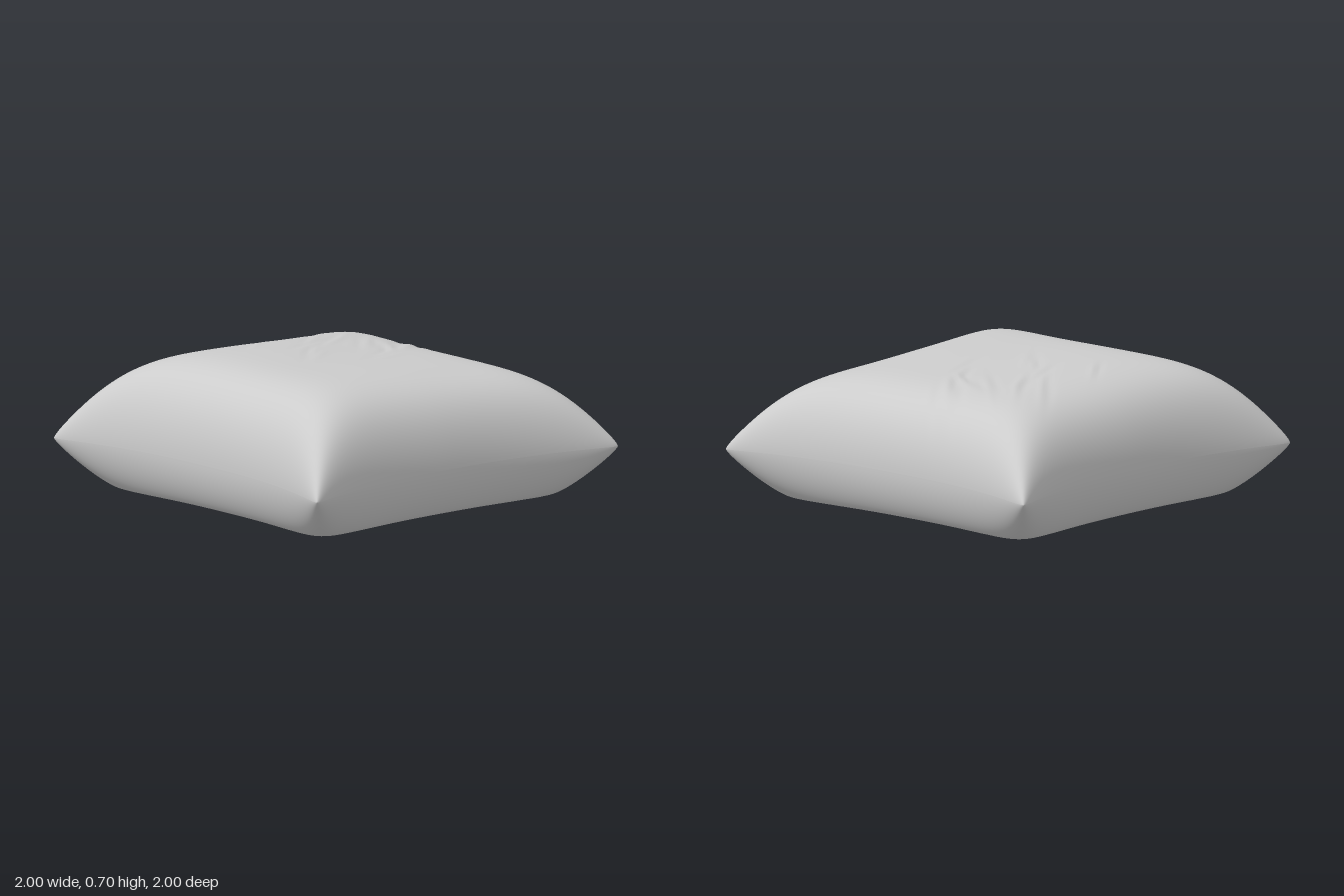
import * as THREE from 'three';

const SEAM = 0.25;   // height of the seam
const N = 110;       // grid divisions per shell
const material = new THREE.MeshStandardMaterial({ color: 0xcccccc, side: THREE.DoubleSide });

// Small seeded generator for the wrinkles
function seeded(seed) {
  return () => (seed = (seed * 16807) % 2147483647) / 2147483647;
}

// Soft creases: short ridge-and-groove strokes in the u, v plane
function makeCreases(count, seed, cu, cv, spread, angle) {
  const rnd = seeded(seed);
  return Array.from({ length: count }, () => ({
    u: cu + (rnd() - 0.5) * spread,
    v: cv + (rnd() - 0.5) * spread,
    a: angle + (rnd() - 0.5) * 0.5,
    len: 0.1 + rnd() * 0.12,
    wid: 0.022 + rnd() * 0.015,
    amp: 0.005 + rnd() * 0.005,
  }));
}

function creaseHeight(creases, u, v) {
  let sum = 0;
  for (const c of creases) {
    const du = u - c.u, dv = v - c.v;
    const along = (du * Math.cos(c.a) + dv * Math.sin(c.a)) / c.len;
    const across = (dv * Math.cos(c.a) - du * Math.sin(c.a)) / c.wid;
    sum += c.amp * across * Math.exp(-along * along - across * across);
  }
  return sum;
}

// Puff is 0 on the seam and 1 in the middle; round at the sides, straight at the corners
function puff(u, v) {
  const q = 0.5 + 0.12 * (u * v) ** 2;
  const f = (t) => Math.max(0, 1 - Math.abs(t) ** 5.5) ** q;
  return f(u) * f(v);
}

// Square outline with edges bowed inward and blunt corner tips
function outline(t, other) {
  const tip = 0.025 * Math.abs(t * other) ** 24;
  return t * (0.848 + 0.165 * Math.abs(other) ** 2.3 - tip);
}

// One cloth shell: a grid, denser near the seam, moved by a height rule
function shell(name, facing, heightAt) {
  const geo = new THREE.PlaneGeometry(2, 2, N, N).rotateX(-facing * Math.PI / 2);
  const p = geo.attributes.position;
  const spread = (s) => Math.sin(THREE.MathUtils.clamp(s, -1, 1) * Math.PI / 2);
  for (let i = 0; i < p.count; i++) {
    const u = spread(p.getX(i)), v = spread(p.getZ(i));
    p.setXYZ(i, outline(u, v), heightAt(u, v, puff(u, v)), outline(v, u));
  }
  geo.computeBoundingBox();
  const k = 1 / geo.boundingBox.max.x;
  geo.scale(k, 1, k);
  geo.computeVertexNormals();
  const mesh = new THREE.Mesh(geo, material);
  mesh.name = name;
  return mesh;
}

export function createModel() {
  const group = new THREE.Group();
  group.name = 'cushion';

  const topCreases = [
    ...makeCreases(14, 77, 0.25, -0.25, 0.8, -0.5),
    ...makeCreases(8, 1234, 0.7, -0.2, 0.5, -0.8),
  ];
  const bottomCreases = makeCreases(8, 991, 0.1, 0, 0.8, 0.5);

  // Full upper half, slightly higher toward -x
  group.add(shell('upperCover', 1, (u, v, h) =>
    SEAM + h * (0.437 - 0.021 * Math.sin(2.2 * u) + creaseHeight(topCreases, u, v)
      + 0.003 * Math.sin(5 * u + 3 * v) * Math.sin(4 * v - 2 * u))));

  // Lower half, pressed flat where it rests
  group.add(shell('lowerCover', -1, (u, v, h) => {
    const d = SEAM - 0.376 * h;
    return 0.5 * (d + Math.sqrt(d * d + 0.0004 * h))
      + 0.2 * h * Math.max(0, creaseHeight(bottomCreases, u, v));
  }));

  return group;
}
